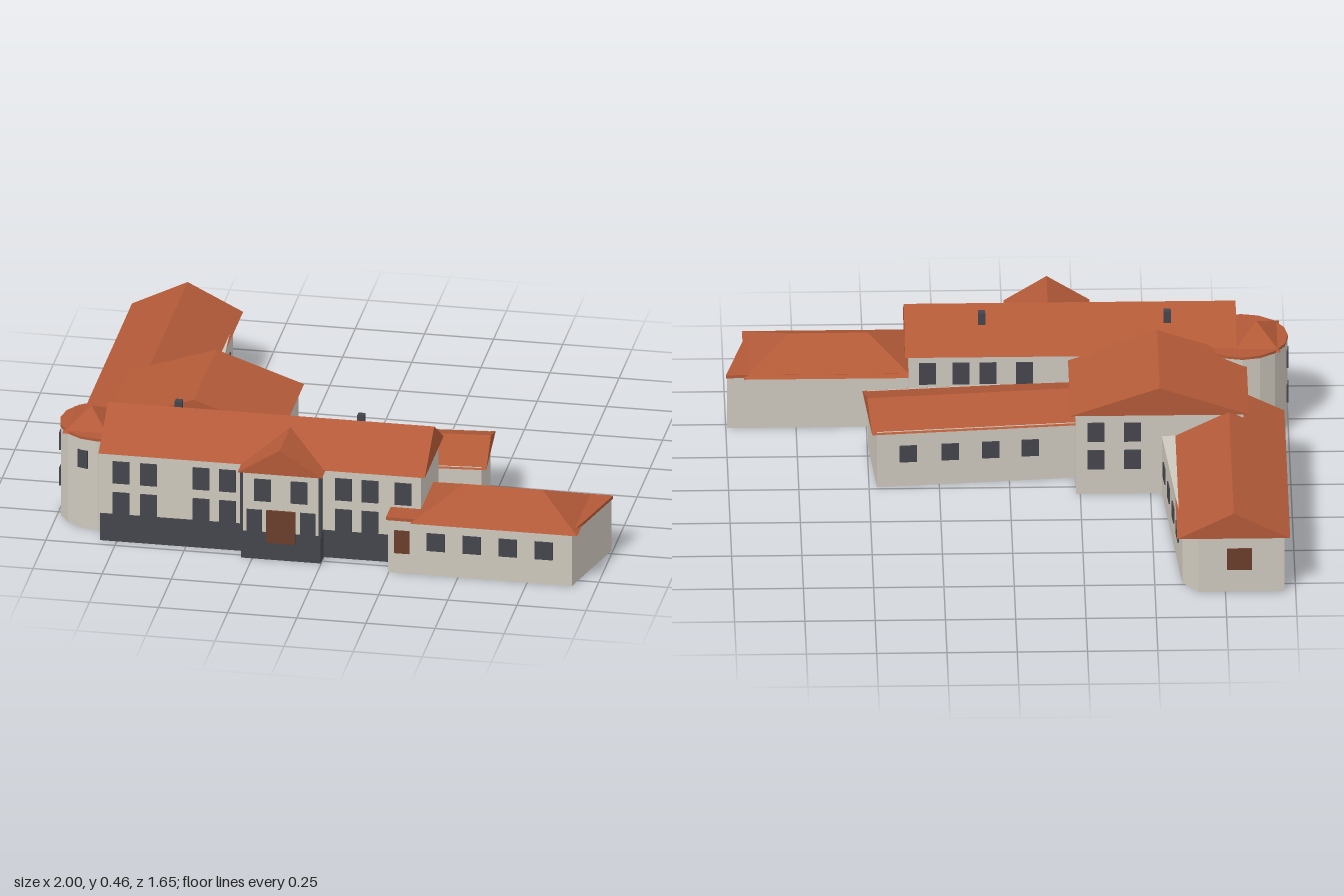
import * as THREE from 'three';

const material = (name, color) => {
  const m = new THREE.MeshStandardMaterial({ color });
  m.name = name;
  return m;
};

export function createModel() {
  const wallMat = material('plaster', 0xcfc9be);
  const roofMat = material('terracotta', 0xb35a38);
  const darkMat = material('slate', 0x45454d);
  const doorMat = material('brownWood', 0x6b3e2b);
  const model = new THREE.Group();
  model.name = 'villa';

  const add = (parent, name, geometry, mat) => {
    const mesh = new THREE.Mesh(geometry, mat);
    mesh.name = name;
    parent.add(mesh);
    return mesh;
  };
  const part = (name) => {
    const g = new THREE.Group();
    g.name = name;
    model.add(g);
    return g;
  };

  // Box given by its limits on each axis
  const block = (parent, name, mat, [x0, x1], [y0, y1], [z0, z1]) => {
    const g = new THREE.BoxGeometry(x1 - x0, y1 - y0, z1 - z0);
    g.translate((x0 + x1) / 2, (y0 + y1) / 2, (z0 + z1) / 2);
    return add(parent, name, g, mat);
  };

  // Upright prism over a plan outline of [x, z] points
  const prism = (parent, name, mat, points, y0, y1) => {
    const shape = new THREE.Shape(points.map(([x, z]) => new THREE.Vector2(x, -z)));
    const g = new THREE.ExtrudeGeometry(shape, { depth: y1 - y0, bevelEnabled: false });
    g.rotateX(-Math.PI / 2).translate(0, y0, 0);
    return add(parent, name, g, mat);
  };

  // Pitched roof: a box whose top is pinched to a ridge; hip shortens the ridge
  const roof = (parent, name, [x0, x1], [y0, y1], [z0, z1], { along = 'x', hip = 0 } = {}) => {
    const g = new THREE.BoxGeometry(x1 - x0, y1 - y0, z1 - z0);
    const p = g.attributes.position;
    for (let i = 0; i < p.count; i++) {
      if (p.getY(i) < 0) continue;
      const x = p.getX(i), z = p.getZ(i);
      if (along === 'x') p.setXYZ(i, x - Math.sign(x) * hip, p.getY(i), 0);
      else p.setXYZ(i, 0, p.getY(i), z - Math.sign(z) * hip);
    }
    g.computeVertexNormals();
    g.translate((x0 + x1) / 2, (y0 + y1) / 2, (z0 + z1) / 2);
    return add(parent, name, g, roofMat);
  };

  // Thin plate set on a wall; turn is the direction it faces (0 = +z)
  const pane = (parent, name, mat, x, y, z, w, h, turn = 0) => {
    const mesh = add(parent, name, new THREE.BoxGeometry(w, h, 0.009), mat);
    mesh.position.set(x, y, z);
    mesh.rotation.y = turn;
    return mesh;
  };
  const LOW = 0.148, HIGH = 0.268;

  // Main two-storey house
  const house = part('mainHouse');
  block(house, 'mainWalls', wallMat, [-0.815, 0.35], [0.1, 0.345], [0.367, 0.71]);
  block(house, 'mainPlinth', darkMat, [-0.81, 0.353], [0, 0.105], [0.365, 0.714]);
  roof(house, 'mainRoof', [-0.815, 0.365], [0.34, 0.46], [0.35, 0.72]);
  for (const x of [-0.735, -0.635, -0.445, -0.35, 0.07, 0.165, 0.285]) {
    pane(house, 'upperWindow', darkMat, x, HIGH, 0.711, 0.06, 0.085);
    if (x < 0.25) pane(house, 'lowerWindow', darkMat, x, LOW, 0.711, 0.06, 0.085);
  }
  for (const x of [-0.06, 0.07, 0.165, 0.285]) {
    pane(house, 'rearWindow', darkMat, x, HIGH, 0.366, 0.06, 0.085);
  }
  for (const x of [-0.57, 0.09]) {
    block(house, 'chimney', darkMat, [x - 0.013, x + 0.013], [0.38, 0.458], [0.46, 0.485]);
  }

  // Gabled entrance bay
  const bay = part('entranceBay');
  block(bay, 'bayWalls', wallMat, [-0.287, -0.005], [0.1, 0.342], [0.6, 0.767]);
  block(bay, 'bayPlinth', darkMat, [-0.29, -0.002], [0, 0.105], [0.6, 0.771]);
  roof(bay, 'bayRoof', [-0.3, 0.005], [0.338, 0.434], [0.55, 0.785], { along: 'z' });
  for (const x of [-0.288, -0.004]) {
    block(bay, 'cornerPilaster', darkMat, [x - 0.005, x + 0.005], [0.1, 0.34], [0.75, 0.771]);
  }
  for (const s of [-1, 1]) {
    pane(bay, 'upperWindow', darkMat, -0.146 + s * 0.066, HIGH, 0.768, 0.06, 0.085);
    pane(bay, 'lowerWindow', darkMat, -0.146 + s * 0.097, LOW, 0.768, 0.055, 0.085);
  }
  pane(bay, 'frontDoor', doorMat, -0.146, 0.129, 0.771, 0.105, 0.125);

  // Round tower with a small pyramid roof
  const tower = part('tower');
  const cx = -0.835, cz = 0.465, r = 0.163;
  const drum = new THREE.CylinderGeometry(r, r, 0.345, 16).toNonIndexed();
  drum.computeVertexNormals();
  add(tower, 'towerWall', drum, wallMat).position.set(cx, 0.1725, cz);
  add(tower, 'towerCap', new THREE.CylinderGeometry(r + 0.002, r + 0.002, 0.01, 16), roofMat)
    .position.set(cx, 0.35, cz);
  roof(tower, 'towerRoof', [-0.97, -0.803], [0.348, 0.412], [0.35, 0.59], { along: 'z', hip: 0.12 });
  for (const [turn, y] of [[-0.35, HIGH], [-Math.PI / 2, HIGH], [-Math.PI / 2, 0.13]]) {
    const d = r - 0.001;
    pane(tower, 'towerWindow', darkMat,
      cx + Math.sin(turn) * d, y, cz + Math.cos(turn) * d, 0.04, 0.068, turn);
  }

  // Rear block joining the wings
  const rear = part('rearBlock');
  block(rear, 'rearWalls', wallMat, [-0.83, -0.235], [0, 0.32], [-0.053, 0.37]);
  roof(rear, 'rearRoof', [-0.85, -0.215], [0.315, 0.424], [-0.058, 0.385], { along: 'z' });
  for (const x of [-0.305, -0.435]) {
    for (const y of [LOW - 0.01, HIGH - 0.02]) {
      pane(rear, 'rearWindow', darkMat, x, y, -0.054, 0.06, 0.075, Math.PI);
    }
  }

  // Long back wing, slightly tapered with one cut corner
  const long = part('longWing');
  prism(long, 'longWingWalls', wallMat,
    [[-0.96, 0.12], [-0.54, 0.12], [-0.54, -0.053], [-0.598, -0.735], [-0.655, -0.808], [-0.96, -0.808]],
    0, 0.23);
  roof(long, 'longWingRoof', [-0.98, -0.578], [0.225, 0.325], [-0.83, 0.14], { along: 'z' });
  const slant = Math.atan2(0.058, 0.682);
  for (const z of [-0.15, -0.295, -0.445, -0.59]) {
    const x = -0.54 + (z + 0.053) * 0.085;
    pane(long, 'eastWindow', darkMat, x, 0.13, z, 0.062, 0.06, Math.PI / 2 + slant);
    pane(long, 'westWindow', darkMat, -0.96, 0.13, z, 0.062, 0.06, -Math.PI / 2);
  }
  pane(long, 'endDoor', doorMat, -0.8, 0.132, -0.809, 0.09, 0.085, Math.PI);

  // Angled back wing
  const angled = part('angledWing');
  angled.position.set(0.503, 0, 0.17);
  angled.rotation.y = 0.0835;
  block(angled, 'angledWalls', wallMat, [-0.95, -0.018], [0, 0.22], [-0.16, 0.16]);
  roof(angled, 'angledRoof', [-0.98, 0], [0.215, 0.275], [-0.17, 0.17]);
  for (const x of [-0.13, -0.28, -0.425, -0.565]) {
    pane(angled, 'angledWindow', darkMat, x, 0.13, -0.161, 0.062, 0.065, Math.PI);
  }

  // Single-storey front wing with a slanted end and hipped roof
  const front = part('frontWing');
  const plan = [[0.247, 0.8], [0.912, 0.8], [0.995, 0.473], [0.247, 0.473]];
  prism(front, 'frontWingWalls', wallMat, plan, 0, 0.203);
  prism(front, 'frontWingCap', roofMat,
    [[0.24, 0.8], [0.915, 0.803], [1, 0.47], [0.24, 0.47]], 0.202, 0.214);
  roof(front, 'frontWingRoof', [0.332, 0.935], [0.205, 0.292], [0.452, 0.822], { hip: 0.16 });
  for (const x of [0.42, 0.55, 0.68, 0.81]) {
    pane(front, 'frontWingWindow', darkMat, x, 0.13, 0.801, 0.066, 0.068);
  }
  pane(front, 'sideDoor', doorMat, 0.297, 0.122, 0.801, 0.054, 0.088);

  return model;
}
